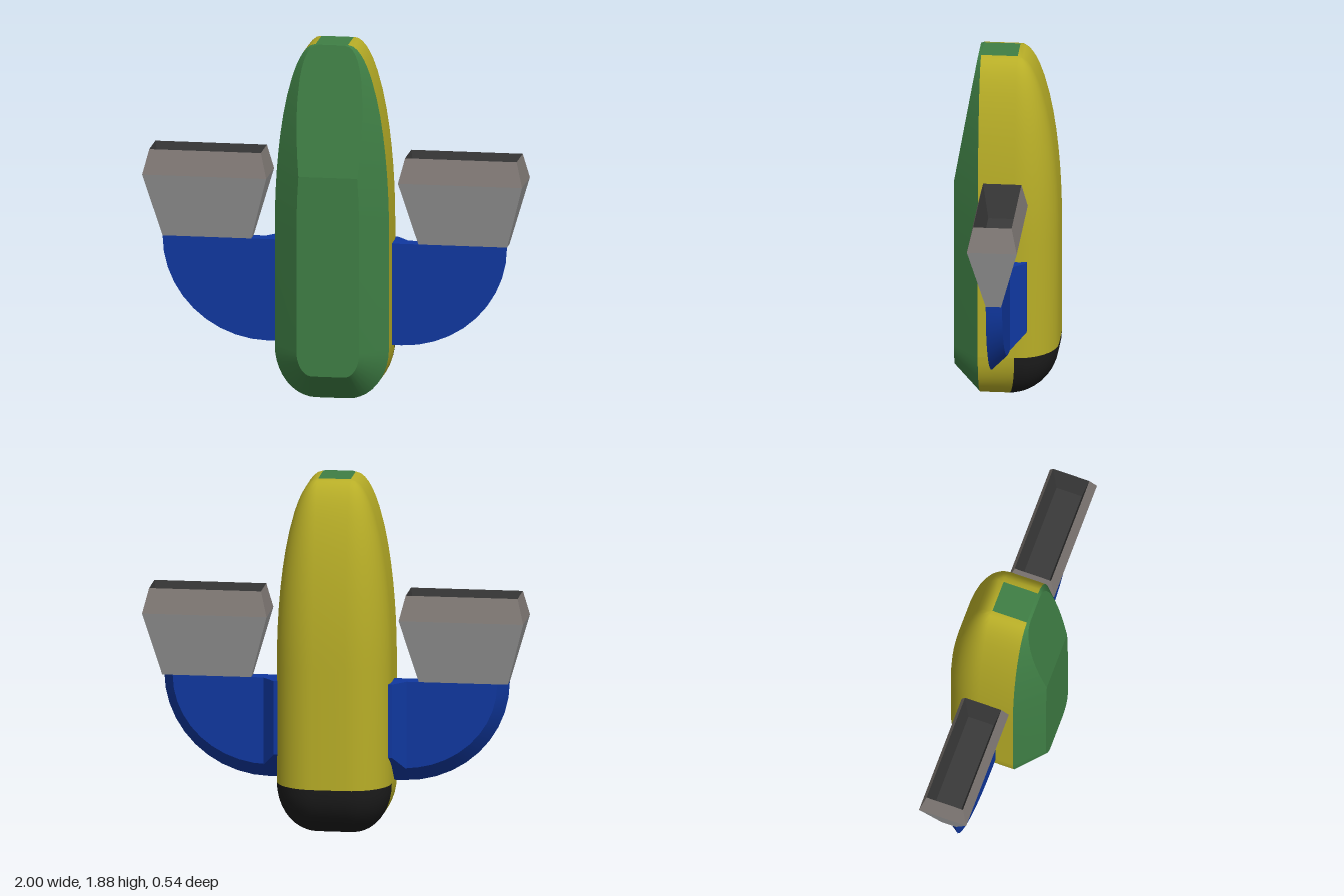
import * as THREE from 'three';
import { toCreasedNormals } from 'three/addons/utils/BufferGeometryUtils.js';

const YELLOW = 0xb8ae27, GREEN = 0x3f7f45, BLUE = 0x1038a0, BLACK = 0x1c1c1c;
const GREY = 0x9c9c9c, WARM_GREY = 0x827b77, DARK = 0x3a3a3a;

// Skin a list of equal-length point rows; side = -1 mirrors the skin in x.
function skin(name, color, rows, { closed = false, side = 1, crease = 0.6 } = {}) {
  const n = rows[0].length, pos = [], index = [];
  for (const row of rows) for (const [x, y, z] of row) pos.push(x * side, y, z);
  for (let i = 0; i < rows.length - 1; i++) {
    for (let j = 0; j < (closed ? n : n - 1); j++) {
      const k = (j + 1) % n;
      const a = i * n + j, b = i * n + k, c = b + n, d = a + n;
      if (side > 0) index.push(a, b, c, a, c, d);
      else index.push(a, c, b, a, d, c);
    }
  }
  const geo = new THREE.BufferGeometry();
  geo.setAttribute('position', new THREE.Float32BufferAttribute(pos, 3));
  geo.setIndex(index);
  const mesh = new THREE.Mesh(toCreasedNormals(geo, crease),
    new THREE.MeshStandardMaterial({ color, side: THREE.DoubleSide }));
  mesh.name = name;
  return mesh;
}

const SEAM = 0.135, FLAT = 0.085, TOP = 1.88, STEPS = 10;
const arc = Array.from({ length: STEPS + 1 }, (_, i) => (i / STEPS) * Math.PI / 2);

// Hull stations: height, half width, and where the rounded back starts and ends
const bottomStations = arc.map((t) => {
  const s = Math.sin(t);
  return { y: 0.27 - 0.27 * Math.cos(t), w: FLAT + 0.215 * s, cz: 0.055 * s, b: 0.27 * s };
});
const upperStations = [0.9, 1, 1.1, 1.2, 1.3, 1.4, 1.5, 1.6, 1.7, 1.76, 1.8, 1.83, 1.855, 1.872, TOP].map((y) => {
  const s = Math.sqrt(Math.max(0, 1 - ((y - 0.9) / 0.98) ** 2));
  return { y, w: FLAT + 0.215 * s, cz: 0.055, b: 0.055 + 0.215 * s };
});

// Horizontal section round the back, from the +x seam to the -x seam
function section({ y, w, cz, b }) {
  const half = [[w, y, SEAM]];
  for (const t of arc) {
    half.push([FLAT + (w - FLAT) * Math.cos(t), y, -cz - (b - cz) * Math.sin(t)]);
  }
  return [...half, ...half.map(([x, h, z]) => [-x, h, z]).reverse()];
}

function buildHull() {
  const g = new THREE.Group();
  g.name = 'hull';
  const low = bottomStations.map(section);
  const high = [bottomStations[STEPS], ...upperStations].map(section);
  g.add(skin('backShell', YELLOW, high));
  g.add(skin('leftLowerSide', YELLOW, low.map((r) => r.slice(0, 2))));
  g.add(skin('rightLowerSide', YELLOW, low.map((r) => r.slice(-2))));
  g.add(skin('tailCap', BLACK, low.map((r) => r.slice(1, -1))));
  g.add(skin('underside', YELLOW, [
    [[-FLAT, 0, 0], [FLAT, 0, 0]], [[-FLAT, 0, SEAM], [FLAT, 0, SEAM]]]));
  g.add(skin('topCap', GREEN, [
    [[-FLAT, TOP, SEAM], [FLAT, TOP, SEAM]], [[-FLAT, TOP, -0.055], [FLAT, TOP, -0.055]]]));

  // Chamfered front shell: outer seam outline and raised inner outline
  const outer = [...bottomStations, ...upperStations].map(({ y, w }) => [w, y, SEAM]);
  const inner = [
    ...arc.map((t) => [FLAT + 0.08 * Math.sin(t), 0.27 - 0.13 * Math.cos(t), 0.27]),
    ...upperStations.map(({ y, w }) => {
      const z = 0.27 - Math.max(0, y - 1.2) * 0.176;
      return [w - (z - SEAM), y, z];
    }),
  ];
  const loop = (h) => [...h, ...h.map(([x, y, z]) => [-x, y, z]).reverse()];
  g.add(skin('frontChamfer', GREEN, [loop(outer), loop(inner)], { closed: true }));
  g.add(skin('frontPanel', GREEN, inner.map(([x, y, z]) => [[-x, y, z], [x, y, z]]), { crease: 0.1 }));
  return g;
}

// Quarter-ellipse wing outline at depth z
function wingLoop(rx, ry, z) {
  const curve = arc.map((t) => [0.35 + rx * Math.sin(t), 0.81 - ry * Math.cos(t), z]);
  return [[0.25, 0.81 - ry, z], ...curve, [0.25, 0.81, z]];
}

// Rectangle centred at x = 0.672 on the engine axis
function rect(hx, y, hz) {
  const c = 0.672;
  return [[c + hx, y, hz], [c + hx, y, -hz], [c - hx, y, -hz], [c - hx, y, hz]];
}

function buildSide(side) {
  const g = new THREE.Group();
  g.name = side > 0 ? 'leftWingAssembly' : 'rightWingAssembly';
  const opt = { closed: true, side, crease: 0.5 };

  // Wing with its rear edge bevelled
  const front = wingLoop(0.555, 0.54, 0.04), back = wingLoop(0.5, 0.46, -0.04);
  g.add(skin('wing', BLUE, [
    back.map(() => [0.4, 0.65, -0.04]), back, front, front.map(() => [0.4, 0.65, 0.04])], opt));

  // Thicker root tapering into the wing's back face
  const root = (x, z, y) => [[x, 0.81, 0.03], [x, 0.28, 0.03], [x, y, z], [x, 0.81, z]];
  g.add(skin('wingRoot', BLUE, [
    root(0.25, -0.12, 0.42), root(0.31, -0.12, 0.42), root(0.375, -0.04, 0.345)], opt));

  // Flared engine box, collar and recessed opening
  const base = rect(0.233, 0.81, 0.04), flare = rect(0.326, 1.15, 0.13);
  const rim = rect(0.293, 1.28, 0.1), floor = rect(0.262, 1.1, 0.07);
  const hub = (y) => base.map(() => [0.672, y, 0]);
  g.add(skin('engineBox', GREY, [hub(0.81), base, flare], { ...opt, crease: 0.1 }));
  g.add(skin('engineCollar', WARM_GREY, [flare, rim], { ...opt, crease: 0.1 }));
  g.add(skin('engineOpening', DARK, [rim, floor, hub(1.1)], { ...opt, crease: 0.1 }));
  return g;
}

export function createModel() {
  const model = new THREE.Group();
  model.name = 'craft';
  model.add(buildHull(), buildSide(1), buildSide(-1));
  return model;
}
